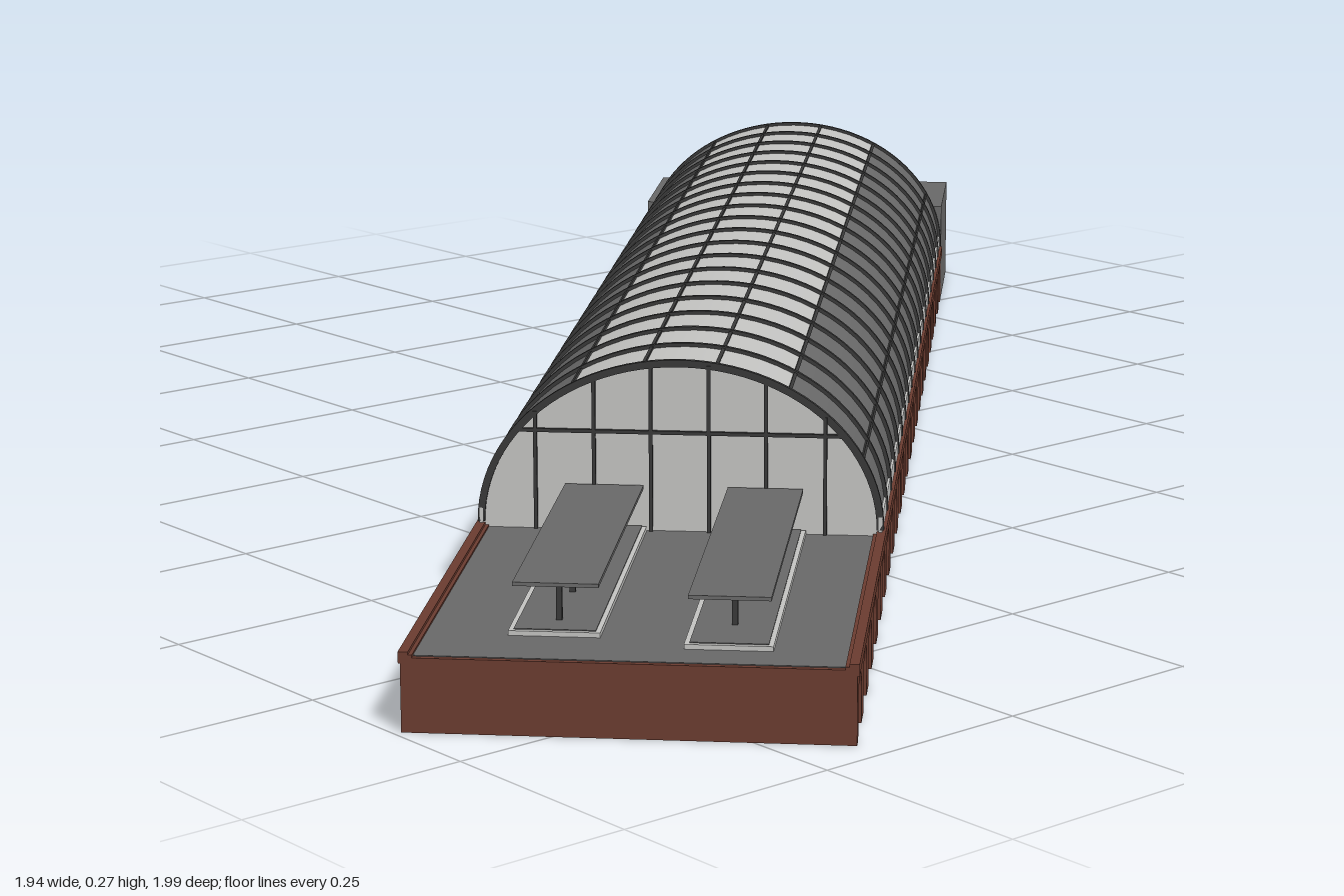
import * as THREE from 'three';

const mat = (name, color, double = false) => {
  const m = new THREE.MeshStandardMaterial({ color });
  m.name = name;
  if (double) m.side = THREE.DoubleSide;
  return m;
};

export function createModel() {
  const slate = mat('slate grey', 0x686868, true);
  const glass = mat('pale glass', 0xc2c2c0, true);
  const brick = mat('brown brick', 0x6a3b2f);
  const iron = mat('dark iron', 0x383838);

  const root = new THREE.Group();
  root.name = 'trainShed';
  const hall = new THREE.Group();
  hall.name = 'station';
  hall.rotation.y = 0.766; // the building stands diagonally
  root.add(hall);

  const add = (name, geo, material, x = 0, y = 0, z = 0) => {
    const m = new THREE.Mesh(geo, material);
    m.name = name;
    m.position.set(x, y, z);
    hall.add(m);
    return m;
  };
  // box given by its limits on each axis
  const box = (name, material, x0, x1, y0, y1, z0, z1) =>
    add(name, new THREE.BoxGeometry(x1 - x0, y1 - y0, z1 - z0), material,
      (x0 + x1) / 2, (y0 + y1) / 2, (z0 + z1) / 2);

  const W = 0.225, BACK = -0.956, SHED = 0.68, FRONT = 1.16, END = -1.17;
  const SPRING = 0.085, RX = 0.221, RY = 0.183;

  // Deck and front wall
  box('deck', slate, -W + 0.01, W - 0.01, 0.068, 0.078, BACK, FRONT - 0.006);
  box('frontWall', brick, -W, W, 0, 0.077, FRONT - 0.01, FRONT);

  // Arcaded side walls with glazed arches
  const N = 24, pitch = (FRONT - BACK) / N, r = 0.027, archSpring = 0.034;
  const wallShape = new THREE.Shape();
  wallShape.moveTo(BACK, 0);
  for (let i = 0; i < N; i++) {
    const c = BACK + (i + 0.5) * pitch;
    wallShape.lineTo(c - r, 0);
    wallShape.lineTo(c - r, archSpring);
    wallShape.absarc(c, archSpring, r, Math.PI, 0, true);
    wallShape.lineTo(c + r, 0);
  }
  wallShape.lineTo(FRONT, 0);
  wallShape.lineTo(FRONT, 0.08);
  wallShape.lineTo(BACK, 0.08);
  const wallGeo = new THREE.ExtrudeGeometry(wallShape, { depth: 0.012, bevelEnabled: false, curveSegments: 8 });
  wallGeo.rotateY(-Math.PI / 2);
  for (const s of [-1, 1]) {
    add('arcadeWall', wallGeo, brick, s > 0 ? W : -W + 0.012);
    box('cornice', brick, s * (W - 0.003) - 0.005, s * (W - 0.003) + 0.005, 0.071, 0.083, BACK, FRONT);
    box('arcadeGlass', glass, s * (W - 0.007) - 0.001, s * (W - 0.007) + 0.001, 0, 0.064, BACK, FRONT - 0.012);
    for (let i = 0; i < N; i++) {
      const c = BACK + (i + 0.5) * pitch;
      box('archMullion', iron, s * (W - 0.007) - 0.003, s * (W - 0.007) + 0.003, 0, 0.061, c - 0.002, c + 0.002);
    }
    // Clerestory strip under the roof
    box('eavesGlass', glass, s * 0.221 - 0.002, s * 0.221 + 0.002, 0.08, 0.1, BACK, SHED);
  }

  // Barrel roof in three bands
  const band = (name, material, a0, a1, n) => {
    const g = new THREE.PlaneGeometry(1, 1, n, 1);
    const p = g.attributes.position;
    for (let i = 0; i < p.count; i++) {
      const a = a0 + (p.getX(i) + 0.5) * (a1 - a0);
      p.setXYZ(i, RX * Math.cos(a), SPRING + RY * Math.sin(a), p.getY(i) > 0 ? BACK : SHED);
    }
    g.computeVertexNormals();
    add(name, g, material);
  };
  const edge = Math.acos(0.12 / RX);
  band('roofSideLeft', slate, 0.08, edge, 10);
  band('skylight', glass, edge, Math.PI - edge, 12);
  band('roofSideRight', slate, Math.PI - edge, Math.PI - 0.08, 10);

  // Arched ribs
  const ribShape = new THREE.Shape();
  ribShape.absellipse(0, SPRING, RX + 0.004, RY + 0.004, 0, Math.PI, false);
  ribShape.lineTo(-RX + 0.004, SPRING);
  ribShape.absellipse(0, SPRING, RX - 0.004, RY - 0.004, Math.PI, 0, true);
  const ribGeo = new THREE.ExtrudeGeometry(ribShape, { depth: 0.006, bevelEnabled: false, curveSegments: 24 });
  const RIBS = 19;
  for (let i = 0; i <= RIBS; i++) {
    add('roofRib', ribGeo, iron, 0, 0, BACK + (i / RIBS) * (SHED - BACK - 0.006));
  }

  // Purlins along the roof
  for (const x of [-0.2, -0.12, -0.04, 0.04, 0.12, 0.2]) {
    const a = Math.acos(x / RX);
    const m = add('purlin', new THREE.BoxGeometry(0.004, 0.004, SHED - BACK), iron,
      x, SPRING + RY * Math.sin(a), (SHED + BACK) / 2);
    m.rotation.z = a;
  }

  // Glazed gables with mullions
  const gableShape = new THREE.Shape();
  gableShape.absellipse(0, SPRING, RX, RY, 0, Math.PI, false);
  gableShape.lineTo(-RX, 0.078);
  gableShape.lineTo(RX, 0.078);
  const gableGeo = new THREE.ShapeGeometry(gableShape, 24);
  for (const z of [BACK + 0.003, SHED - 0.003]) {
    add('gableGlass', gableGeo, glass, 0, 0, z);
    for (const x of [-0.16, -0.095, -0.032, 0.032, 0.095, 0.16]) {
      const top = SPRING + RY * Math.sqrt(1 - (x / RX) ** 2);
      box('gableMullion', iron, x - 0.002, x + 0.002, 0.078, top, z - 0.004, z + 0.004);
    }
    box('gableTransom', iron, -0.178, 0.178, 0.188, 0.192, z - 0.004, z + 0.004);
  }

  // Platforms with canopies on posts
  for (const [x0, x1, z1] of [[-0.13, -0.037, 1.08], [0.05, 0.139, 1.11]]) {
    const c = (x0 + x1) / 2;
    box('platform', glass, x0, x1, 0.077, 0.083, SHED, z1);
    box('platformTop', slate, x0 + 0.005, x1 - 0.005, 0.082, 0.084, SHED, z1 - 0.005);
    box('canopy', slate, x0 + 0.003, x1 - 0.003, 0.126, 0.13, SHED, z1 - 0.012);
    for (let i = 0; i < 4; i++) {
      const z = SHED + 0.06 + i * 0.1;
      box('canopyPost', iron, c - 0.003, c + 0.003, 0.08, 0.127, z - 0.003, z + 0.003);
    }
  }

  // Rear block, open underneath
  const t = 0.006, H = 0.145;
  box('blockRoof', slate, -W, W, H - t, H, END, BACK);
  box('blockBackWall', slate, -W, W, 0, H - t, END, END + t);
  box('blockInnerWall', slate, -W, W, 0, H - t, BACK - t, BACK);
  for (const s of [-1, 1]) {
    const x = s * (W - t / 2);
    box('blockSideWall', slate, x - t / 2, x + t / 2, 0, H - t, END + t, BACK - t);
  }
  box('blockEntranceStrip', glass, -W + 0.015, W - 0.01, 0.004, 0.038, END - 0.002, END + 0.002);

  return root;
}
